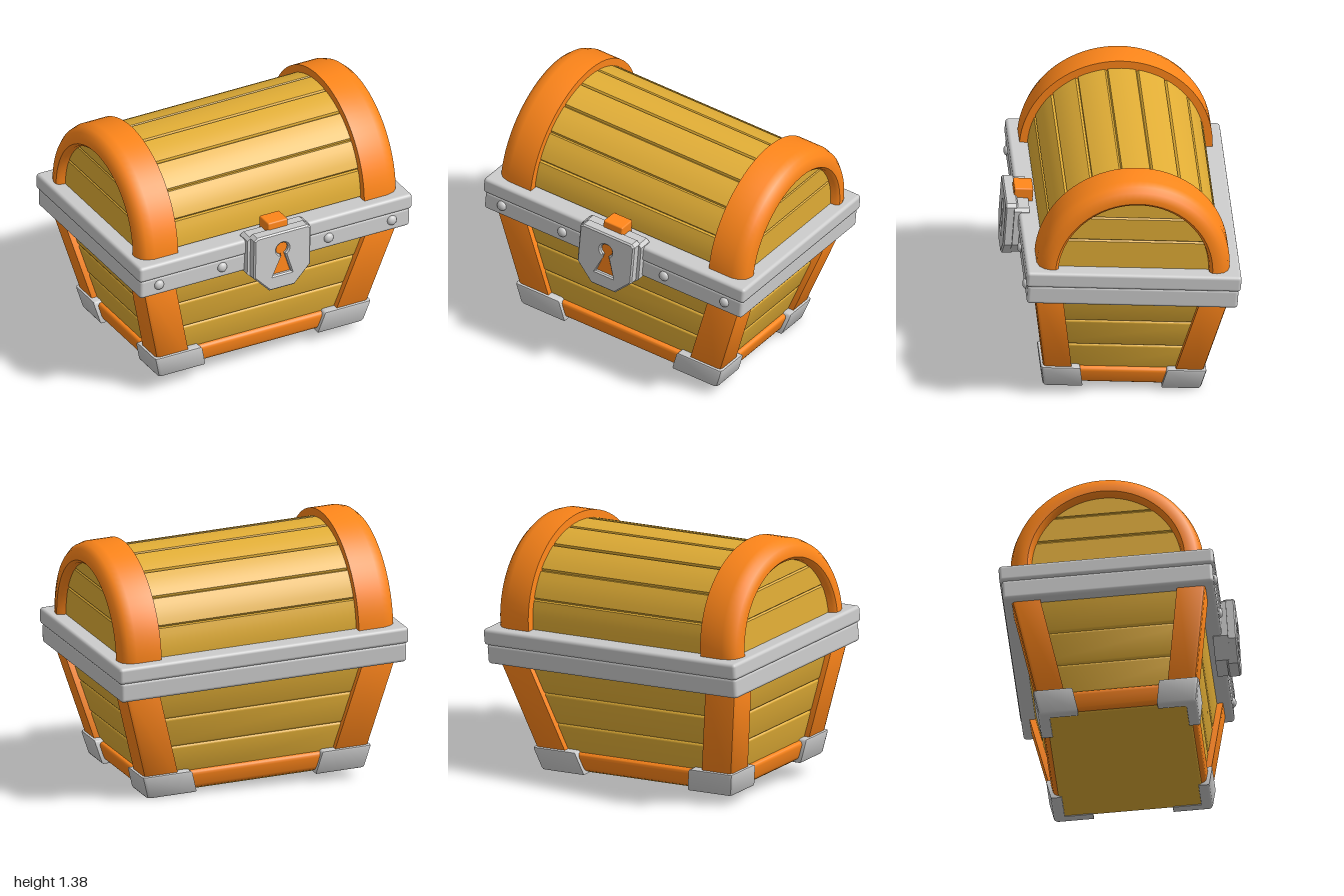
import * as THREE from 'three';
import { toCreasedNormals } from 'three/addons/utils/BufferGeometryUtils.js';
import { RoundedBoxGeometry } from 'three/addons/geometries/RoundedBoxGeometry.js';

const wood = new THREE.MeshStandardMaterial({ color: 0xe2ae36 });
const orange = new THREE.MeshStandardMaterial({ color: 0xff861a });
const orangeOpen = new THREE.MeshStandardMaterial({ color: 0xff861a, side: THREE.DoubleSide });
const grey = new THREE.MeshStandardMaterial({ color: 0xcccccc });

const LID_Y = 0.795;
const shapeOf = (pts) => new THREE.Shape(pts.map(([x, y]) => new THREE.Vector2(x, y)));

// The chest widens upwards: push every vertex outwards with its height
function flare(geo) {
  const p = geo.attributes.position;
  for (let i = 0; i < p.count; i++) {
    const y = p.getY(i);
    p.setX(i, p.getX(i) + Math.sign(p.getX(i)) * 0.27 * y);
    p.setZ(i, p.getZ(i) + Math.sign(p.getZ(i)) * 0.18 * y);
  }
  return toCreasedNormals(geo, 0.7);
}

// Rounded box from half sizes and a height range
function slab(hx, hz, y0, y1, r) {
  return new RoundedBoxGeometry(hx * 2, y1 - y0, hz * 2, 2, r).translate(0, (y0 + y1) / 2, 0);
}

// L-shaped upright wrapped around one corner
function cornerAngle(sx, sz, X, Z, lx, lz, t, y0, y1, bevel) {
  const c = 0.02;
  const pts = [[X - c, Z], [X - lx, Z], [X - lx, Z - t], [X - t, Z - t],
    [X - t, Z - lz], [X, Z - lz], [X, Z - c], [X - c * 0.3, Z - c * 0.3]];
  const geo = new THREE.ExtrudeGeometry(shapeOf(pts.map(([x, z]) => [x * sx, -z * sz])), {
    depth: y1 - y0 - 2 * bevel, bevelThickness: bevel, bevelSize: bevel, bevelOffset: -bevel, bevelSegments: 2,
  });
  return flare(geo.rotateX(-Math.PI / 2).translate(0, y0 + bevel, 0));
}

// Profile in (z, y), extruded along x and centred
function alongX(pts, length, bevel) {
  const geo = new THREE.ExtrudeGeometry(shapeOf(pts), {
    depth: length - 2 * bevel, bevelEnabled: bevel > 0,
    bevelThickness: bevel, bevelSize: bevel, bevelOffset: -bevel, bevelSegments: 1,
  });
  geo.translate(0, 0, -length / 2 + bevel).rotateY(-Math.PI / 2);
  return toCreasedNormals(geo, 0.35);
}

// Arched band: a rounded section swept over the lid
function bandGeometry(s) {
  const section = [[0.12, 0.70], [0.11, 0.765], [0.095, 0.78], [0.07, 0.78], [0.035, 0.768],
    [0.012, 0.742], [0, 0.70], [0, 0.56], [0.07, 0.56]];
  const n = 40, rows = section.length;
  const geo = new THREE.PlaneGeometry(1, 1, n, rows - 1);
  const p = geo.attributes.position;
  for (let i = 0; i < p.count; i++) {
    const u = (i % (n + 1)) / n, [d, x] = section[Math.floor(i / (n + 1))];
    const a = Math.PI * (s > 0 ? 1 - u : u);
    p.setXYZ(i, s * x, LID_Y - 0.01 + Math.sin(a) * (0.515 - d), Math.cos(a) * (0.51 - d));
  }
  return toCreasedNormals(geo, 0.7);
}

export function createModel() {
  const root = new THREE.Group();
  root.name = 'treasureChest';
  const chest = new THREE.Group();
  chest.name = 'chest';
  // The chest stands turned and slightly tilted
  chest.rotation.set(-0.078, 0.604, 0);
  chest.position.set(0, 0.054, 0.055);
  root.add(chest);
  const add = (name, geo, mat) => {
    const m = new THREE.Mesh(geo, mat);
    m.name = name;
    chest.add(m);
    return m;
  };

  // Body: floor, planks and base trim
  add('floor', flare(slab(0.575, 0.375, 0.008, 0.07, 0.01)), wood);
  [0.05, 0.27, 0.44, 0.63].forEach((y, i, ys) => {
    if (i) add('bodyPlank', flare(slab(0.57, 0.37, ys[i - 1], y, 0.014)), wood);
  });
  add('baseTrim', flare(slab(0.597, 0.397, 0.016, 0.12, 0.025)), orange);

  // Corner posts and metal feet
  for (const sx of [-1, 1]) for (const sz of [-1, 1]) {
    add('cornerPost', cornerAngle(sx, sz, 0.602, 0.402, 0.19, 0.15, 0.05, 0.06, 0.63, 0.005), orange);
    add('footBracket', cornerAngle(sx, sz, 0.617, 0.417, 0.28, 0.21, 0.06, 0, 0.13, 0.012), grey);
  }

  // Two-part metal rim
  add('lowerRim', slab(0.81, 0.557, 0.602, 0.712, 0.018), grey);
  add('upperRim', slab(0.82, 0.567, 0.706, 0.795, 0.018), grey);

  // Barrel lid of nine planks with narrow grooves
  const PLANKS = 9, lid = [];
  const arch = (a, d) => [Math.cos(a) * (0.468 - d), LID_Y + Math.sin(a) * (0.462 - d)];
  lid.push([0.468, 0.74]);
  for (let k = 0; k < PLANKS; k++) {
    const a0 = (k / PLANKS) * Math.PI, step = Math.PI / PLANKS;
    lid.push(arch(a0, 0.012));
    for (let j = 0; j <= 4; j++) lid.push(arch(a0 + step * (0.05 + 0.9 * j / 4), 0));
  }
  lid.push([-0.468, 0.74]);
  add('lidPlanks', alongX(lid, 1.38, 0), wood);

  // Flat end planks, seen inside the bands
  const levels = [0.76, 0.956, 1.092, 1.225];
  for (let k = 0; k < 3; k++) {
    const side = [];
    for (let j = 0; j <= 6; j++) {
      const y = levels[k] + (levels[k + 1] - levels[k]) * j / 6;
      const h = Math.max(0, (y - LID_Y) / 0.435);
      side.push([0.435 * Math.sqrt(Math.max(0.01, 1 - h * h)), y]);
    }
    const pts = [...side, ...side.map(([z, y]) => [-z, y]).reverse()];
    add('endPlank', alongX(pts, 1.47, 0.008), wood);
  }
  for (const s of [-1, 1]) add('lidBand', bandGeometry(s), orangeOpen);

  // Rivets on the front of the rim
  for (const x of [-0.7, -0.32, 0.32, 0.7]) {
    const rivet = add('rivet', new THREE.SphereGeometry(0.028, 16, 10), grey);
    rivet.position.set(x, 0.665, 0.557);
    rivet.scale.z = 0.7;
  }

  // Lock: back plate, front plate with a keyhole, and the hasp
  const plate = (w, top, bottom, low, foot) => shapeOf([[-w, low], [-foot, bottom], [foot, bottom],
    [w, low], [w, top - 0.015], [w - 0.02, top], [0.02 - w, top], [-w, top - 0.015]]);
  add('lockBack', new THREE.ExtrudeGeometry(plate(0.187, 0.815, 0.505, 0.60, 0.09), {
    depth: 0.08, bevelEnabled: false }).translate(0, 0, 0.51), grey);
  const front = plate(0.17, 0.83, 0.49, 0.59, 0.075);
  const hole = new THREE.Path();
  hole.moveTo(-0.055, 0.575);
  hole.lineTo(-0.016, 0.695);
  hole.absarc(0, 0.727, 0.036, -2.03, -1.11, true);
  hole.lineTo(0.055, 0.575);
  hole.closePath();
  front.holes.push(hole);
  add('lockPlate', new THREE.ExtrudeGeometry(front, {
    depth: 0.05, bevelThickness: 0.008, bevelSize: 0.008, bevelOffset: -0.008, bevelSegments: 1,
  }).translate(0, 0, 0.578), grey);
  add('keyhole', new THREE.BoxGeometry(0.13, 0.22, 0.03).translate(0, 0.67, 0.6), orange);
  add('hasp', new RoundedBoxGeometry(0.12, 0.12, 0.1, 2, 0.008).translate(0, 0.81, 0.535), orange);

  return root;
}
